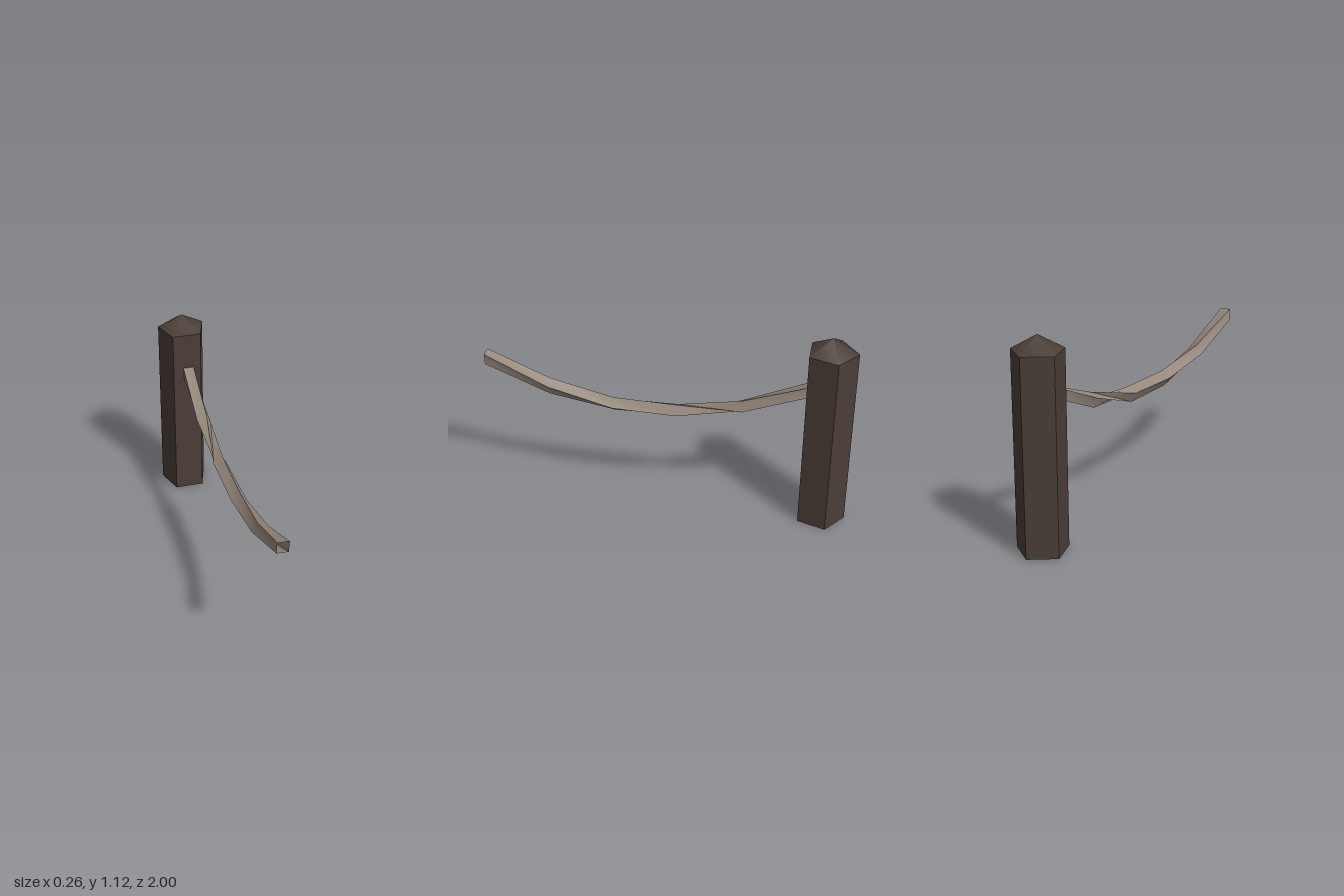
import * as THREE from 'three';
import { toCreasedNormals } from 'three/addons/utils/BufferGeometryUtils.js';

const postMaterial = new THREE.MeshStandardMaterial({ color: 0x4b3e38 });
postMaterial.name = 'dark wood';
const ropeMaterial = new THREE.MeshStandardMaterial({ color: 0x96887b, side: THREE.DoubleSide });
ropeMaterial.name = 'rope tan';

function addMesh(group, name, geometry, material) {
  const mesh = new THREE.Mesh(geometry, material);
  mesh.name = name;
  group.add(mesh);
  return mesh;
}

// Square section swept along a sagging line, twisting from ring to ring
function ropeGeometry() {
  const radius = 0.043;
  // z, centre height, twist in degrees
  const rings = [
    [1.0, 0.805, -48],
    [0.645, 0.66, -72],
    [0.29, 0.59, -98],
    [-0.06, 0.59, -108],
    [-0.415, 0.66, -200],
    [-0.77, 0.805, -225],
  ];
  const positions = [];
  const index = [];
  rings.forEach(([z, y, twist], i) => {
    for (let j = 0; j < 4; j++) {
      const a = THREE.MathUtils.degToRad(twist + j * 90);
      positions.push(0.007 + radius * Math.cos(a), y + radius * Math.sin(a), z);
      if (i === rings.length - 1) continue;
      const k = (j + 1) % 4;
      const a0 = i * 4 + j, a1 = i * 4 + k;
      const b0 = a0 + 4, b1 = a1 + 4;
      index.push(a0, a1, b0, a1, b1, b0);
    }
  });
  const geometry = new THREE.BufferGeometry();
  geometry.setAttribute('position', new THREE.Float32BufferAttribute(positions, 3));
  geometry.setIndex(index);
  return toCreasedNormals(geometry, 0.6);
}

export function createModel() {
  const model = new THREE.Group();
  model.name = 'ropeFencePost';

  const radius = 0.138, height = 1.035, capHeight = 0.08, postZ = -0.862;

  // Five-sided post with its flat side to the front
  const shaft = new THREE.CylinderGeometry(radius, radius, height, 5, 1, false, Math.PI);
  addMesh(model, 'post', toCreasedNormals(shaft, 0.5), postMaterial)
    .position.set(0, height / 2, postZ);

  // Low pointed cap
  const cap = new THREE.ConeGeometry(radius, capHeight, 5, 1, true, Math.PI);
  addMesh(model, 'postCap', cap, postMaterial)
    .position.set(0, height + capHeight / 2, postZ);

  // Hanging rope
  addMesh(model, 'rope', ropeGeometry(), ropeMaterial);

  return model;
}
